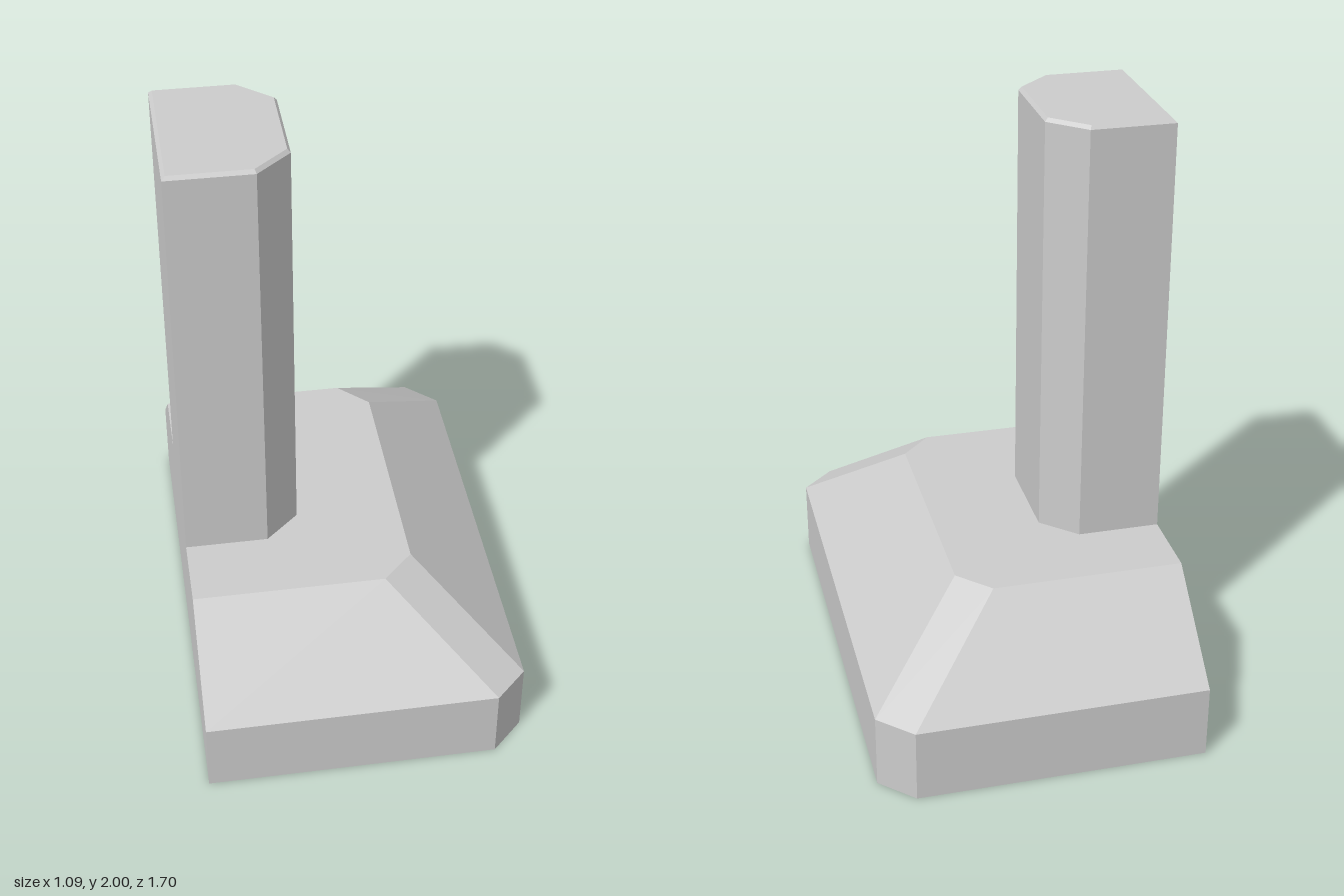
import * as THREE from 'three';

const BACK = -0.545;

// Half-octagon outline: flat at x = back, two chamfered corners on the +x side
function outline(back, xMid, xMax, zMid, zMax) {
  return [[back, zMax], [xMid, zMax], [xMax, zMid], [xMax, -zMid], [xMid, -zMax], [back, -zMax]];
}

// Flat-shaded walls between stacked outlines, each given as { y, pts }
function loft(rings) {
  const pos = [];
  for (let r = 0; r < rings.length - 1; r++) {
    const lo = rings[r], hi = rings[r + 1], n = lo.pts.length;
    for (let i = 0; i < n; i++) {
      const j = (i + 1) % n;
      const at = (ring, k) => [ring.pts[k][0], ring.y, ring.pts[k][1]];
      const a = at(lo, i), b = at(lo, j), c = at(hi, j), d = at(hi, i);
      pos.push(...a, ...b, ...c, ...a, ...c, ...d);
    }
  }
  const geo = new THREE.BufferGeometry();
  geo.setAttribute('position', new THREE.Float32BufferAttribute(pos, 3));
  geo.computeVertexNormals();
  return geo;
}

// Horizontal face filling an outline at height y, facing up
function deck(pts, y) {
  const shape = new THREE.Shape(pts.map(([x, z]) => new THREE.Vector2(x, -z)));
  return new THREE.ShapeGeometry(shape).rotateX(-Math.PI / 2).translate(0, y, 0);
}

export function createModel() {
  const group = new THREE.Group();
  const material = new THREE.MeshStandardMaterial({
    color: 0xcccccc, flatShading: true, side: THREE.DoubleSide,
  });
  const add = (name, geometry) => {
    const mesh = new THREE.Mesh(geometry, material);
    mesh.name = name;
    group.add(mesh);
  };

  const foot = outline(BACK, 0.43, 0.54, 0.745, 0.85);
  const shoulder = outline(BACK, 0.1, 0.205, 0.42, 0.525);
  const post = outline(BACK, -0.265, -0.15, 0.165, 0.272);
  const postTop = outline(BACK + 0.012, -0.27, -0.16, 0.16, 0.262);

  // Hollow base, open underneath
  add('baseWalls', loft([{ y: 0, pts: foot }, { y: 0.255, pts: foot }, { y: 0.54, pts: shoulder }]));

  // Base top, cut away where the hollow column rises out of it
  add('baseTop', deck([...shoulder, ...[...post].reverse()], 0.54));

  // Column with a fine bevel around its cap
  add('columnWalls', loft([{ y: 0.54, pts: post }, { y: 1.988, pts: post }, { y: 2, pts: postTop }]));
  add('columnCap', deck(postTop, 2));

  return group;
}
